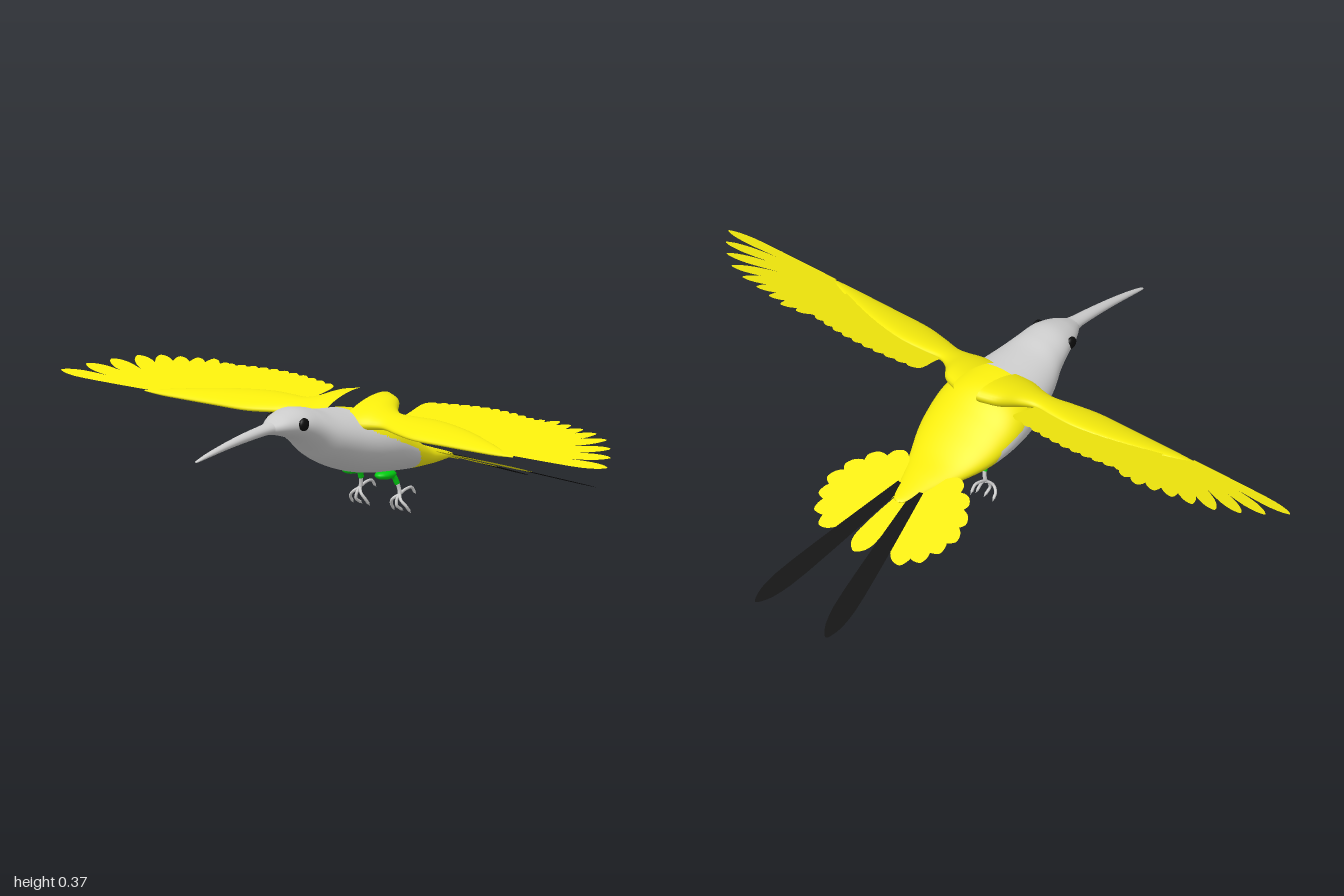
import * as THREE from 'three';
import { mergeGeometries } from 'three/addons/utils/BufferGeometryUtils.js';

const V = (x, y, z) => new THREE.Vector3(x, y, z);
const mat = (color, side = THREE.FrontSide) => new THREE.MeshStandardMaterial({ color, side });
const YELLOW = 0xf5eb0c;
const grey = mat(0xcccccc), yellow = mat(YELLOW), black = mat(0x0c0c0c), green = mat(0x00cc10);
const yellowFeather = mat(YELLOW, THREE.DoubleSide), blackFeather = mat(0x0c0c0c, THREE.DoubleSide);

function add(parent, name, geometry, material) {
  const mesh = new THREE.Mesh(geometry, material);
  mesh.name = name;
  parent.add(mesh);
  return mesh;
}

// Smooth skin through rows of four numbers; place(row, cos, sin) gives each ring point
function loft(rows, n, m, place) {
  const spline = (f) => new THREE.CatmullRomCurve3(rows.map(f), false, 'catmullrom');
  const c1 = spline((r) => V(r[0], r[1], r[2])), c2 = spline((r) => V(r[3], 0, 0));
  const pos = [], index = [];
  for (let i = 0; i <= n; i++) {
    const p = c1.getPoint(i / n), w = Math.max(c2.getPoint(i / n).x, 0.0005);
    for (let j = 0; j < m; j++) {
      const a = (j / m) * Math.PI * 2;
      pos.push(...place([p.x, p.y, p.z, w], Math.cos(a), Math.sin(a)).toArray());
      if (i === n) continue;
      const k = (j + 1) % m, q = i * m, r = q + m;
      index.push(q + j, q + k, r + j, q + k, r + k, r + j);
    }
  }
  const g = new THREE.BufferGeometry();
  g.setAttribute('position', new THREE.Float32BufferAttribute(pos, 3));
  g.setIndex(index);
  g.computeVertexNormals();
  return g;
}

// Rows are z, top, bottom, half width
const alongZ = ([z, top, bottom, w], c, s) => V(w * c, (top + bottom) / 2 + ((top - bottom) / 2) * s, z);

// Flat feather from base to tip in plan (x, z), laid on the sloping surface height(z)
function feather([bx, bz], [tx, tz], width, height, lift = 0, root = 0.4, blunt = 0.7) {
  const dx = tx - bx, dz = tz - bz, len = Math.hypot(dx, dz);
  const at = (t, w) => new THREE.Vector2(bx + dx * t - (dz / len) * w * width / 2, bz + dz * t + (dx / len) * w * width / 2);
  const half = [[0, root], [0.4, 0.8], [0.75, 1], [0.9, blunt], [0.97, blunt * 0.5]];
  const outline = [...half.map(([t, w]) => at(t, -w)), at(1, 0), ...half.reverse().map(([t, w]) => at(t, w))];
  const shape = new THREE.Shape();
  shape.moveTo(outline[0].x, outline[0].y);
  shape.splineThru(outline.slice(1));
  const g = new THREE.ShapeGeometry(shape, 2), p = g.attributes.position;
  for (let i = 0; i < p.count; i++) {
    const z = p.getY(i);
    p.setXYZ(i, p.getX(i), height(z) + lift, z);
  }
  g.computeVertexNormals();
  return g;
}

const wingHeight = (z) => 0.302 + (0.21 - z) * 0.24;
const tailHeight = (z) => 0.147 + (z + 0.28) * 0.32;

function tube(points, radius, n = 10) {
  return new THREE.TubeGeometry(new THREE.CatmullRomCurve3(points.map((p) => V(...p))), n, radius, 8);
}

function buildBody(bird) {
  const skin = loft([
    [-0.295, 0.148, 0.144, 0.004], [-0.28, 0.156, 0.141, 0.022], [-0.2, 0.182, 0.139, 0.058],
    [-0.13, 0.207, 0.141, 0.092], [-0.06, 0.246, 0.143, 0.124], [0, 0.284, 0.146, 0.14],
    [0.06, 0.322, 0.15, 0.146], [0.12, 0.338, 0.16, 0.14], [0.19, 0.345, 0.182, 0.122],
    [0.25, 0.353, 0.212, 0.104], [0.3, 0.366, 0.25, 0.084], [0.35, 0.373, 0.283, 0.07],
    [0.4, 0.363, 0.301, 0.052], [0.44, 0.346, 0.311, 0.028], [0.465, 0.335, 0.318, 0.008],
  ], 130, 72, alongZ);

  // Yellow back and rump, grey head and belly
  const bound = (z) => (z > -0.015 ? 0.22 + (z + 0.015) * 0.43 : 0.22 + (z + 0.015) * 1.9);
  const p = skin.attributes.position, parts = [[], []], ix = skin.index.array;
  for (let i = 0; i < ix.length; i += 3) {
    const t = [ix[i], ix[i + 1], ix[i + 2]];
    const mean = (f) => (f(t[0]) + f(t[1]) + f(t[2])) / 3;
    const z = mean((k) => p.getZ(k)), y = mean((k) => p.getY(k));
    parts[z < 0.15 && y > bound(z) ? 1 : 0].push(...t);
  }
  ['headAndBelly', 'back'].forEach((name, i) => {
    const g = skin.clone();
    g.setIndex(parts[i]);
    add(bird, name, g, i ? yellow : grey);
  });

  add(bird, 'beak', loft([
    [0.42, 0.35, 0.308, 0.032], [0.46, 0.342, 0.312, 0.022], [0.53, 0.332, 0.306, 0.017],
    [0.61, 0.317, 0.297, 0.013], [0.69, 0.298, 0.285, 0.009], [0.735, 0.284, 0.278, 0.005], [0.742, 0.28, 0.279, 0.001],
  ], 32, 20, alongZ), grey);
}

function buildWing() {
  const wing = new THREE.Group();
  // Arm: rows are x, centre z, half depth, half thickness
  add(wing, 'wingArm', loft([
    [0.04, 0.09, 0.1, 0.035], [0.09, 0.1, 0.085, 0.032], [0.13, 0.118, 0.055, 0.023], [0.17, 0.128, 0.041, 0.017],
    [0.23, 0.135, 0.051, 0.016], [0.31, 0.143, 0.06, 0.016], [0.42, 0.155, 0.05, 0.014],
    [0.52, 0.172, 0.034, 0.011], [0.61, 0.19, 0.016, 0.007], [0.675, 0.2, 0.002, 0.001],
  ], 50, 28, ([x, zc, d, h], c, s) => {
    const z = zc + d * s;
    return V(x, wingHeight(z) + h * c, z);
  }), yellow);

  // Overlapping blunt inner feathers
  const inner = [];
  for (let i = 0; i < 11; i++) {
    const t = i / 10, x = 0.192 + t * 0.345;
    inner.push(feather([x, 0.13 + t * 0.03], [x + 0.012 * t, -0.018 - 0.02 * Math.sin(t * Math.PI)], 0.056, wingHeight, i * 0.0006, 1, 0.9));
  }
  add(wing, 'innerFeathers', mergeGeometries(inner), yellowFeather);

  // Fanned outer feathers
  const tips = [[0.585, -0.028], [0.635, -0.035], [0.685, -0.024], [0.74, -0.012], [0.8, 0.0],
    [0.86, 0.025], [0.915, 0.07], [0.96, 0.12], [1.0, 0.178]];
  const outer = tips.map((tip, i) =>
    feather([0.5 + i * 0.017, 0.155 + i * 0.005], tip, 0.056 - i * 0.0018, wingHeight, 0.001 + i * 0.0006, 0.45, 0.75));
  add(wing, 'outerFeathers', mergeGeometries(outer), yellowFeather);
  return wing;
}

function buildTailSide() {
  const side = new THREE.Group();
  const tips = [[0.145, -0.455], [0.19, -0.42], [0.216, -0.37], [0.23, -0.318], [0.215, -0.26], [0.18, -0.205], [0.125, -0.16]];
  add(side, 'tailFan', mergeGeometries(tips.map((tip, i) =>
    feather([0.025, -0.265 + i * 0.006], tip, 0.066, tailHeight, -i * 0.0006, 0.35, 0.8))), yellowFeather);
  add(side, 'longTailFeather', feather([0.03, -0.24], [0.126, -0.744], 0.066, tailHeight, 0.003, 0.45, 0.8), blackFeather);
  return side;
}

function buildLeg() {
  const leg = new THREE.Group();
  const thigh = add(leg, 'thigh', new THREE.SphereGeometry(1, 20, 14), green);
  thigh.scale.set(0.024, 0.013, 0.036);
  thigh.position.set(0.06, 0.147, 0.037);
  add(leg, 'shin', tube([[0.06, 0.145, 0.02], [0.063, 0.137, 0.006], [0.066, 0.117, -0.004]], 0.008), green);
  add(leg, 'ankle', tube([[0.066, 0.122, -0.003], [0.07, 0.1, -0.008], [0.073, 0.084, -0.006]], 0.0055), grey);
  // Three spread toes and one hind toe, each ending in a hooked claw
  const root = [0.073, 0.088, -0.006];
  const toes = [-1, 0, 1].map((k) => [root, [0.073 + k * 0.016, 0.074, 0.006],
    [0.075 + k * 0.027, 0.059, 0.008 - Math.abs(k) * 0.008], [0.075 + k * 0.029, 0.046, -0.01]]);
  toes.push([root, [0.073, 0.098, -0.03], [0.073, 0.1, -0.054], [0.073, 0.086, -0.066]]);
  toes.forEach((pts) => {
    add(leg, 'toe', tube(pts, 0.0042, 14), grey);
    const dir = V(...pts[3]).sub(V(...pts[2])).normalize();
    const claw = add(leg, 'claw', new THREE.ConeGeometry(0.0042, 0.012, 8), grey);
    claw.position.set(...pts[3]).addScaledVector(dir, 0.005);
    claw.quaternion.setFromUnitVectors(V(0, 1, 0), dir);
  });
  return leg;
}

export function createModel() {
  const bird = new THREE.Group();
  bird.name = 'bird';
  buildBody(bird);
  add(bird, 'middleTailFeather', feather([0, -0.25], [0, -0.478], 0.07, tailHeight, -0.001, 0.4, 0.8), yellowFeather);

  for (const [name, s] of [['left', 1], ['right', -1]]) {
    const half = { Wing: buildWing(), Tail: buildTailSide(), Leg: buildLeg() };
    for (const part in half) {
      half[part].name = name + part;
      half[part].scale.x = s;
      bird.add(half[part]);
    }
    const eye = add(bird, name + 'Eye', new THREE.SphereGeometry(0.018, 20, 14), black);
    eye.scale.x = 0.6;
    eye.position.set(s * 0.06, 0.336, 0.368);
  }
  return bird;
}
